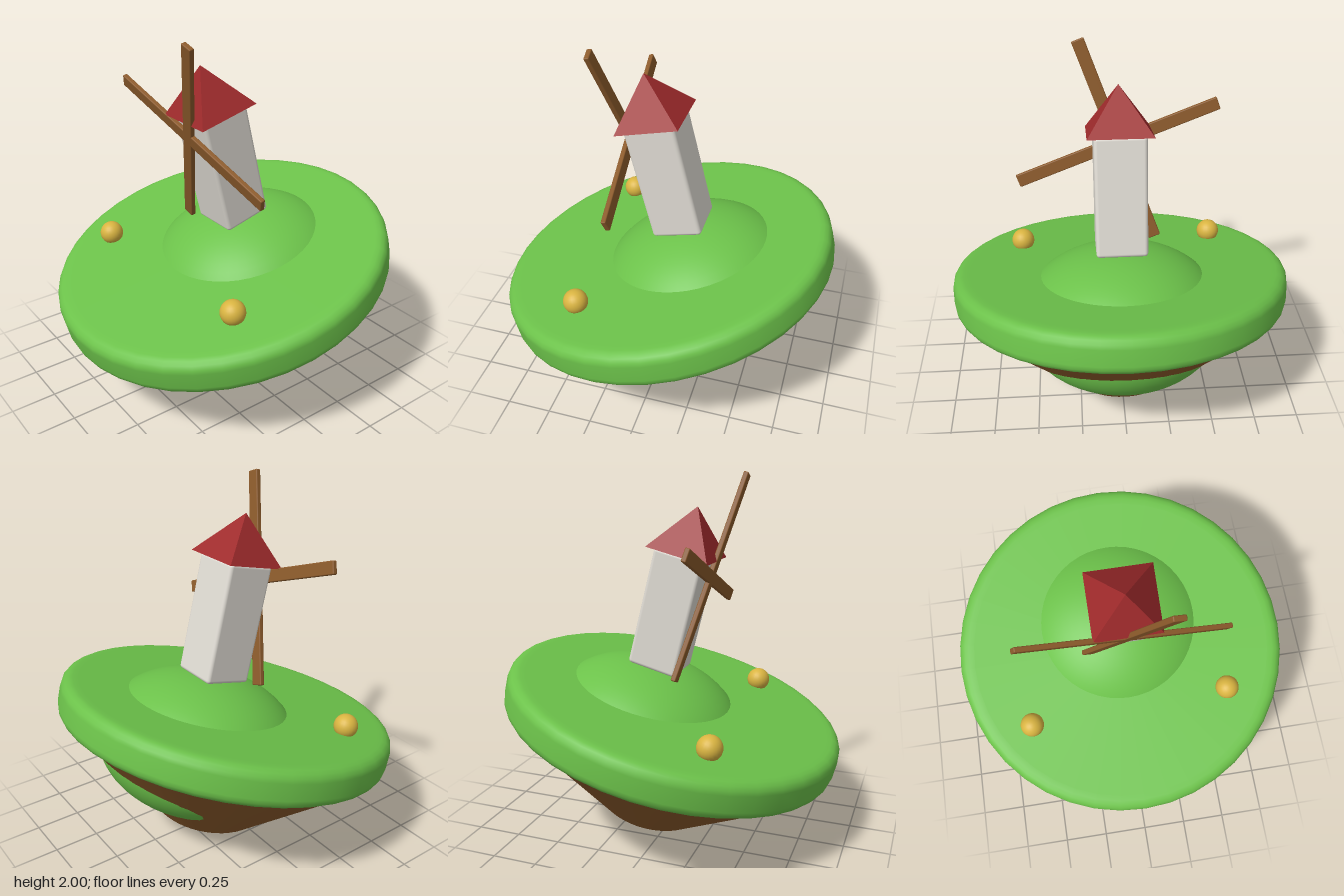
import * as THREE from 'three';
import { RoundedBoxGeometry } from 'three/addons/geometries/RoundedBoxGeometry.js';

const material = (name, color) => Object.assign(new THREE.MeshStandardMaterial({ color }), { name });

export function createModel() {
  const grass = material('grass', 0x6cc24a);
  const wood = material('brown earth and wood', 0x8b5a2b);
  const plaster = material('plaster', 0xe0dcd4);
  const red = material('roof red', 0x9e2a2b);
  const gold = material('gold', 0xd9b441);

  const model = new THREE.Group();
  model.name = 'floatingWindmillIsland';

  // Everything sits on one axis that leans towards the front
  const island = new THREE.Group();
  island.name = 'tiltedIsland';
  island.position.set(0, 0.07, -0.145);
  island.rotation.x = 0.245;
  model.add(island);

  const add = (parent, name, geometry, mat, x = 0, y = 0, z = 0) => {
    const mesh = new THREE.Mesh(geometry, mat);
    mesh.name = name;
    mesh.position.set(x, y, z);
    parent.add(mesh);
    return mesh;
  };
  const lathe = (points, segments) =>
    new THREE.LatheGeometry(points.map(([r, h]) => new THREE.Vector2(r, h)), segments);

  // Earth cone with a softened lower edge
  add(island, 'earthCone', lathe([
    [0, 0], [0.27, 0], [0.288, 0.003], [0.302, 0.013], [0.32, 0.029],
    [0.88, 0.508], [0.893, 0.519], [0.893, 0.53],
  ], 48), wood);

  // Grass disc with rounded rims
  const rim = [[0, 0.515], [0.86, 0.515]];
  const bevel = 0.06;
  for (const [centre, start] of [[0.575, -Math.PI / 2], [0.665, 0]]) {
    for (let i = 0; i <= 4; i++) {
      const a = start + (i / 4) * Math.PI / 2;
      rim.push([0.89 + bevel * Math.cos(a), centre + bevel * Math.sin(a)]);
    }
  }
  rim.push([0.86, 0.725], [0, 0.725]);
  add(island, 'grassDisc', lathe(rim, 40), grass);

  // Flattened ball forming the hill and the green bulge under the back
  const hill = add(island, 'hill', new THREE.SphereGeometry(0.58, 48, 32), grass, 0, 0.468, -0.15);
  hill.scale.y = 0.7;

  // Windmill
  const mill = new THREE.Group();
  mill.name = 'windmill';
  mill.position.z = -0.15;
  island.add(mill);
  add(mill, 'tower', new RoundedBoxGeometry(0.28, 0.66, 0.28, 3, 0.02), plaster, 0, 1.193, 0);

  const roofShape = new THREE.ConeGeometry(0.175 * Math.SQRT2, 0.25, 4).rotateY(Math.PI / 4).toNonIndexed();
  roofShape.computeVertexNormals();
  add(mill, 'roof', roofShape, red, 0, 1.646, 0);

  // Two crossed bars make the four sails
  const sails = new THREE.Group();
  sails.name = 'sails';
  sails.position.set(0, 1.428, 0.164);
  sails.rotation.z = -0.35;
  mill.add(sails);
  add(sails, 'uprightSail', new RoundedBoxGeometry(0.07, 1.18, 0.028, 2, 0.006), wood);
  add(sails, 'crossSail', new RoundedBoxGeometry(1.18, 0.07, 0.027, 2, 0.006), wood);

  // Golden balls resting on the grass
  for (const [name, x, z] of [['rightBall', -0.575, 0.371], ['leftBall', 0.57, 0.324]]) {
    add(island, name, new THREE.SphereGeometry(0.067, 24, 16), gold, x, 0.765, z);
  }

  return model;
}
